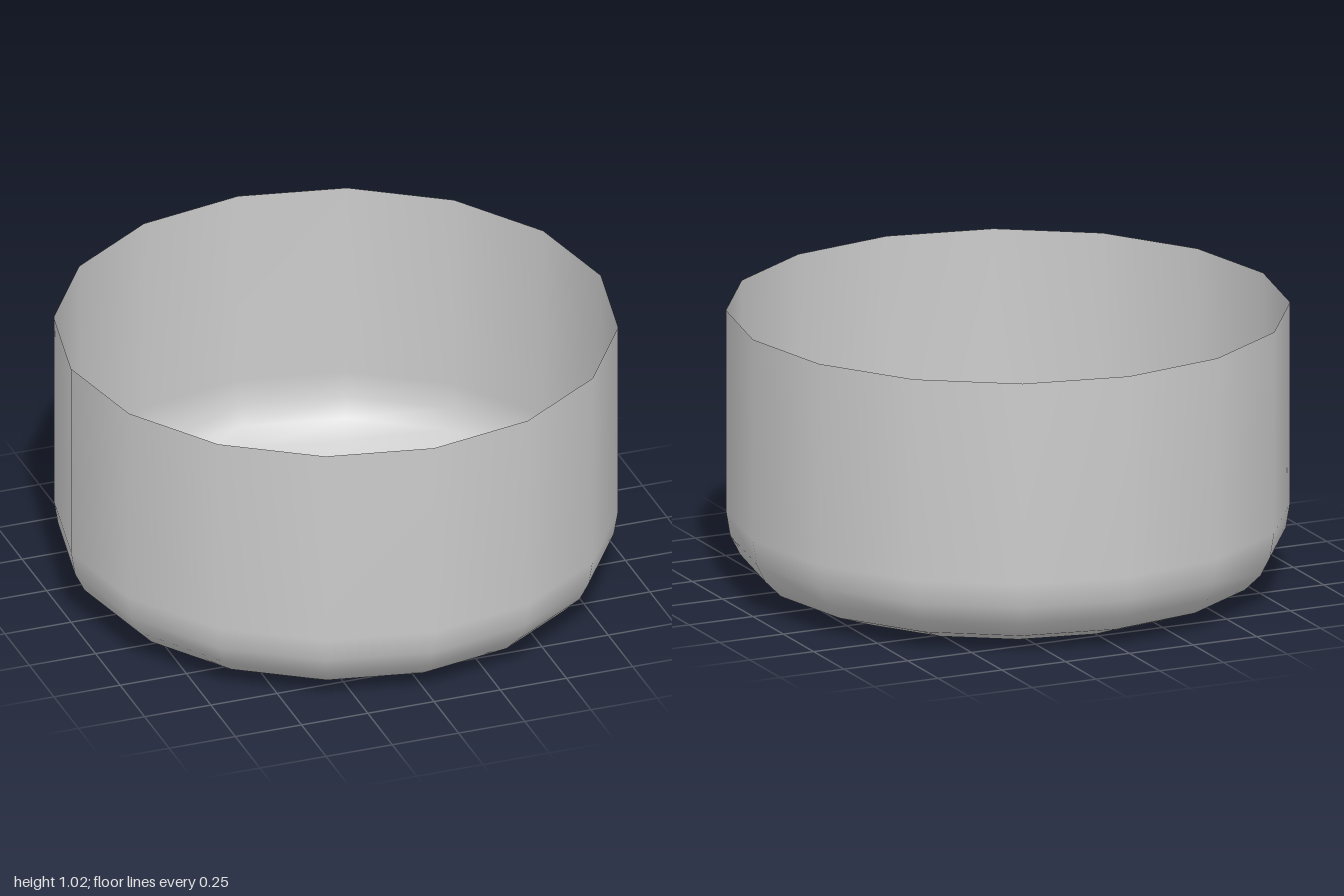
import * as THREE from 'three';

export function createModel() {
  const group = new THREE.Group();
  group.name = 'openRing';

  const material = new THREE.MeshStandardMaterial({ color: 0xcccccc, side: THREE.DoubleSide });

  // Thin sixteen-sided wall, open at both ends, curving in at the foot
  const profile = [
    [0.725, 0], [0.89, 0.06], [0.95, 0.12], [0.985, 0.19], [1, 0.28], [1, 1.02],
  ].map(([r, y]) => new THREE.Vector2(r, y));

  const shell = new THREE.Mesh(new THREE.LatheGeometry(profile, 16), material);
  shell.name = 'shell';
  group.add(shell);

  return group;
}
